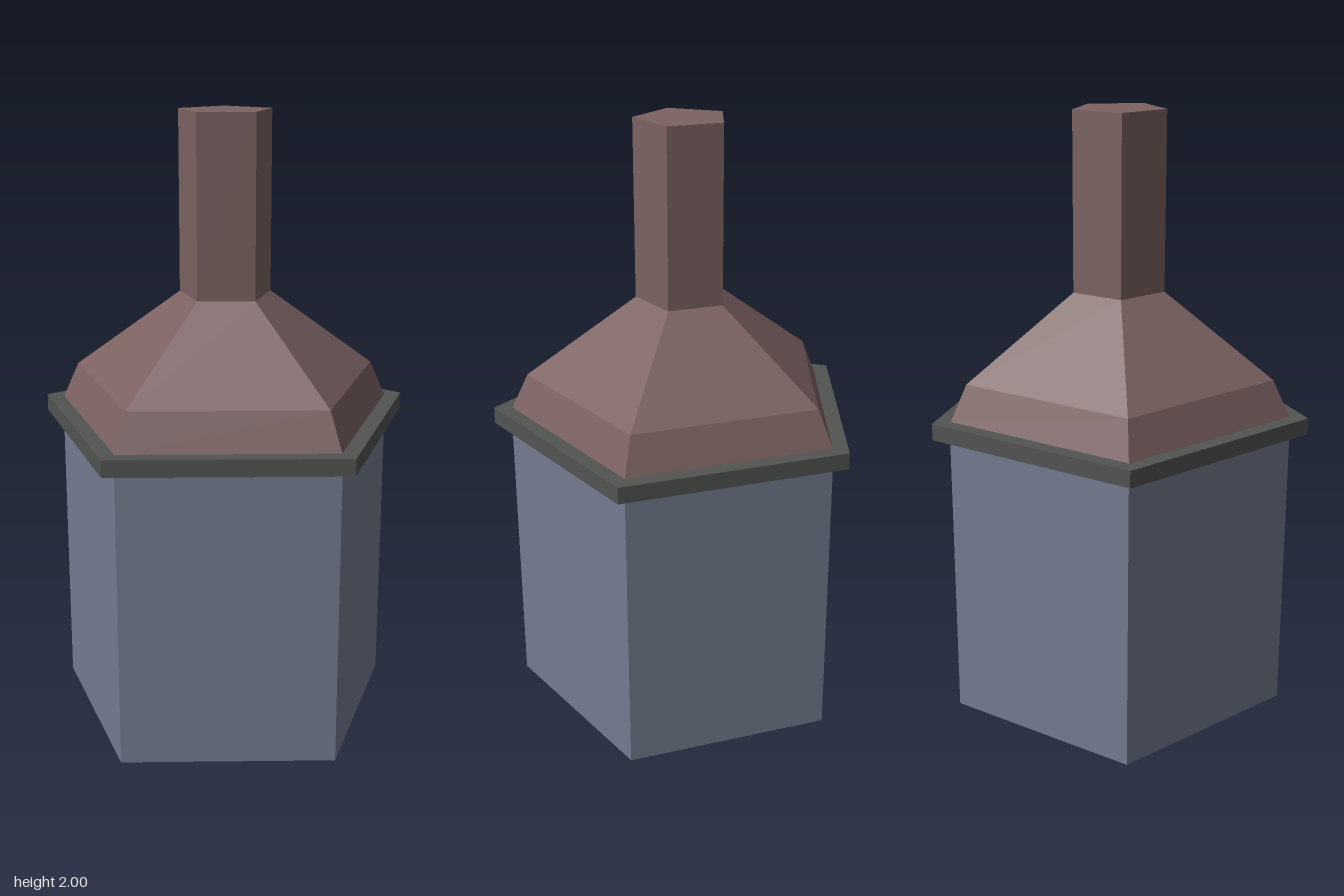
import * as THREE from 'three';

const SIDES = 5;
const CENTRE_Z = 0.06; // centres the pentagon's bounding box on z = 0

const bodyBlue = new THREE.MeshStandardMaterial({ name: 'slate blue', color: 0x747b90, flatShading: true });
const rimGrey = new THREE.MeshStandardMaterial({ name: 'dark grey', color: 0x525452, flatShading: true });
const roofBrown = new THREE.MeshStandardMaterial({ name: 'dusty brown', color: 0x7b6261, flatShading: true });

// Five-sided prism or frustum, with a corner pointing to the back
function pentagon(name, bottomY, topY, bottomR, topR, material, open = false) {
  const geometry = new THREE.CylinderGeometry(topR, bottomR, topY - bottomY, SIDES, 1, open, Math.PI)
    .toNonIndexed();
  geometry.computeVertexNormals();
  const mesh = new THREE.Mesh(geometry, material);
  mesh.name = name;
  mesh.position.set(0, (bottomY + topY) / 2, CENTRE_Z);
  return mesh;
}

export function createModel() {
  const model = new THREE.Group();
  model.name = 'pentagonalTower';

  model.add(
    // Walls and overhanging ledge
    pentagon('body', 0, 0.975, 0.58, 0.58, bodyBlue),
    pentagon('rim', 0.975, 1.03, 0.638, 0.638, rimGrey),
    // Roof in two slopes, rising into the chimney
    pentagon('lowerRoof', 1.03, 1.15, 0.576, 0.52, roofBrown, true),
    pentagon('upperRoof', 1.15, 1.42, 0.52, 0.155, roofBrown, true),
    pentagon('chimney', 1.42, 2, 0.155, 0.155, roofBrown),
  );
  return model;
}
